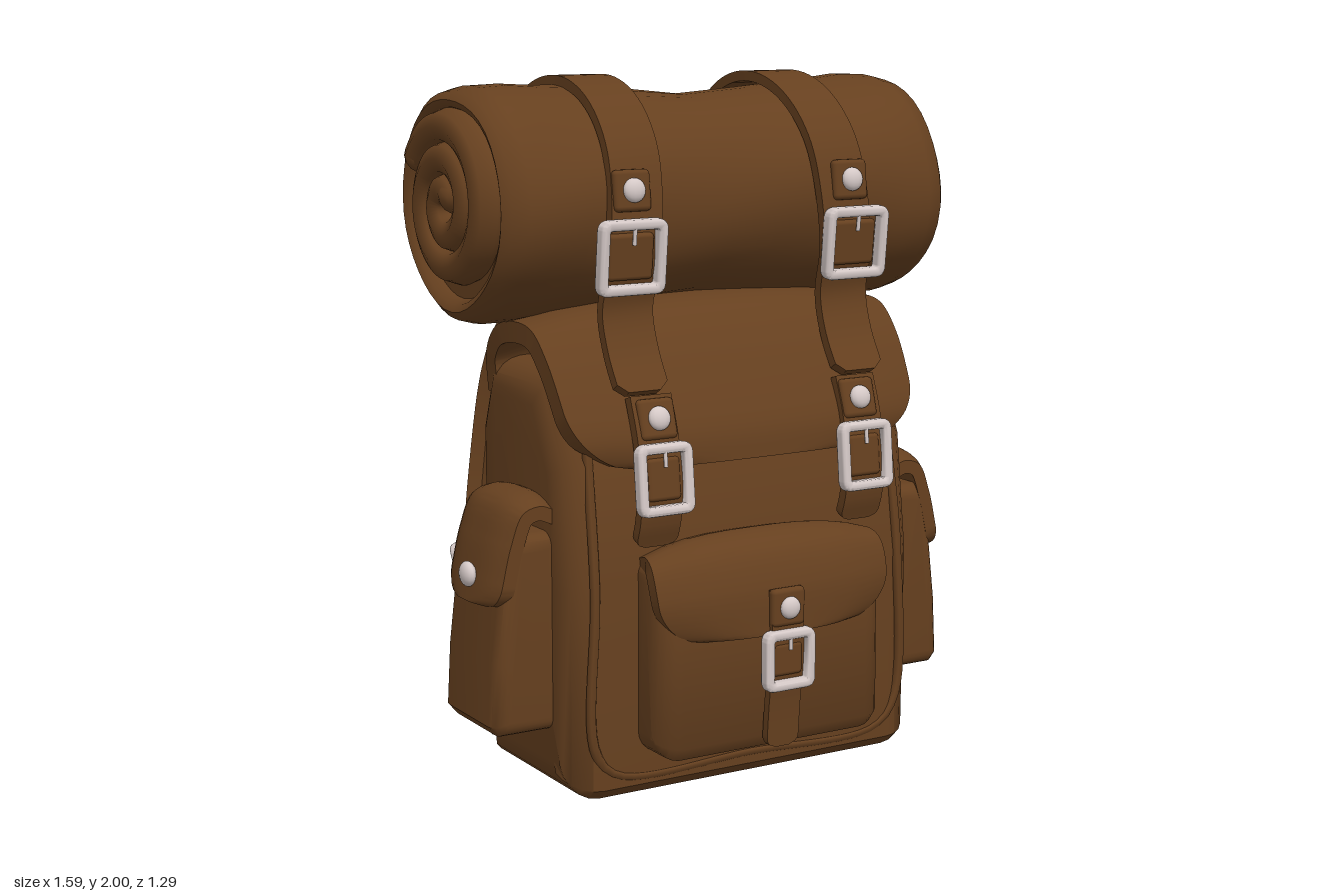
import * as THREE from 'three';
import { toCreasedNormals } from 'three/addons/utils/BufferGeometryUtils.js';
import { RoundedBoxGeometry } from 'three/addons/geometries/RoundedBoxGeometry.js';

const leather = new THREE.MeshStandardMaterial({ color: 0x66401f });
leather.name = 'brown leather';
const metal = new THREE.MeshStandardMaterial({ color: 0xd6cac8 });
metal.name = 'pale metal';

const V = (x, y, z) => new THREE.Vector3(x, y, z);
// path of [z, y] pairs at a fixed x
const zy = (x, pts) => pts.map(([z, y]) => V(x, y, z));

function add(parent, name, geo, mat = leather, pos) {
  const m = new THREE.Mesh(geo, mat);
  m.name = name;
  if (pos) m.position.copy(pos);
  parent.add(m);
  return m;
}

// band swept along a path: dir is its width direction, round its end corner radius,
// bow drops the two long edges, flare widens the middle
function ribbon(pts, width, thick, { dir = () => V(1, 0, 0), round = 0, bow = 0, flare = 0, steps = 56 } = {}) {
  const curve = new THREE.CatmullRomCurve3(pts, false, 'centripetal');
  const len = curve.getLength(), pos = [], idx = [], cols = bow ? 10 : 1, ring = 2 * (cols + 1);
  for (let i = 0; i <= steps; i++) {
    const u = i / steps, p = curve.getPointAt(u), d = dir(u).normalize();
    const n = curve.getTangentAt(u).cross(d).normalize();
    const left = Math.min((1 - u) * len, round);
    const half = width / 2 + flare * Math.sin(Math.PI * u) - round
      + Math.sqrt(Math.max(0, round ** 2 - (round - left) ** 2));
    for (let j = 0; j < ring; j++) {
      const top = j <= cols, k = top ? 1 - 2 * j / cols : 2 * (j - cols - 1) / cols - 1;
      const c = p.clone().addScaledVector(d, k * half)
        .addScaledVector(n, (top ? thick : -thick) / 2 - bow * Math.abs(k) ** 3);
      pos.push(c.x, c.y, c.z);
    }
  }
  for (let i = 0; i < steps; i++) for (let j = 0; j < ring; j++) {
    const a = i * ring + j, b = i * ring + (j + 1) % ring;
    idx.push(a, b, b + ring, a, b + ring, a + ring);
  }
  const e = steps * ring;
  for (let j = 0; j < cols; j++) {
    const a = j, b = j + 1, c = ring - 2 - j, d = ring - 1 - j;
    idx.push(e + a, e + b, e + c, e + a, e + c, e + d, c, b, a, d, c, a);
  }
  const g = new THREE.BufferGeometry();
  g.setAttribute('position', new THREE.Float32BufferAttribute(pos, 3));
  g.setIndex(idx);
  return toCreasedNormals(g, 0.7);
}

// outline extruded by depth, centred, with rounded rims
function slab(pts, depth, bevel) {
  const s = new THREE.Shape(pts.map(([x, y]) => new THREE.Vector2(x, y)));
  const g = new THREE.ExtrudeGeometry(s, { depth: depth - 2 * bevel, bevelSize: bevel,
    bevelThickness: bevel, bevelOffset: -bevel, bevelSegments: 5 });
  g.translate(0, 0, -depth / 2 + bevel);
  return toCreasedNormals(g, 0.7);
}
// same, from a [z, y] side profile extruded across x
const sideSlab = (pts, width, bevel) => slab(pts, width, bevel).rotateY(-Math.PI / 2);

function roundRect(path, w, h, r) {
  const x = w / 2, y = h / 2;
  path.moveTo(-x + r, -y).lineTo(x - r, -y).quadraticCurveTo(x, -y, x, -y + r)
    .lineTo(x, y - r).quadraticCurveTo(x, y, x - r, y).lineTo(-x + r, y)
    .quadraticCurveTo(-x, y, -x, y - r).lineTo(-x, -y + r).quadraticCurveTo(-x, -y, -x + r, -y);
  return path;
}

function fitting(parent, name, pos, normal) {
  const g = new THREE.Group();
  g.name = name;
  g.position.copy(pos);
  g.lookAt(pos.clone().add(normal));
  parent.add(g);
  return g;
}

// slim square frame with a prong
function buckle(parent, pos, normal, w = 0.2, h = 0.2) {
  const g = fitting(parent, 'buckle', pos, normal);
  const s = roundRect(new THREE.Shape(), w - 0.018, h - 0.018, 0.022);
  s.holes.push(roundRect(new THREE.Path(), w - 0.04, h - 0.04, 0.015));
  add(g, 'buckleFrame', toCreasedNormals(new THREE.ExtrudeGeometry(s, { depth: 0.02,
    bevelSize: 0.009, bevelThickness: 0.009, bevelSegments: 2 }).translate(0, 0, -0.01), 0.8), metal);
  add(g, 'bucklePin', new THREE.CylinderGeometry(0.006, 0.006, h * 0.3, 8), metal, V(0, h * 0.32, 0.012));
  add(g, 'strapKeeper', new RoundedBoxGeometry(w - 0.07, h - 0.08, 0.03, 2, 0.012), leather, V(0, 0, -0.012));
}

// domed stud on a small leather tab
function rivet(parent, pos, normal, r = 0.034, tab = 0.115) {
  const g = fitting(parent, 'rivet', pos, normal);
  if (tab) add(g, 'rivetTab', new RoundedBoxGeometry(tab, tab, 0.03, 2, 0.014));
  add(g, 'rivetHead', new THREE.SphereGeometry(r, 14, 10).scale(1, 1, 0.6), metal, V(0, 0, 0.018));
}

export function createModel() {
  const model = new THREE.Group();
  model.name = 'backpack';
  const front = V(0, 0, 1), back = V(0, 0, -1);

  // main bag, tapering to the top
  add(model, 'body', sideSlab([[-0.12, 0], [0.39, 0], [0.42, 0.03], [0.425, 0.6], [0.38, 0.95],
    [0.26, 1.2], [-0.1, 1.2], [-0.17, 1.0], [-0.17, 0.45]], 1.17, 0.1));
  const seam = new THREE.CatmullRomCurve3([V(-0.5, 1.0, 0.36), V(-0.51, 0.6, 0.42), V(-0.51, 0.15, 0.415),
    V(-0.44, 0.07, 0.41), V(0, 0.065, 0.41), V(0.44, 0.07, 0.41), V(0.51, 0.15, 0.415), V(0.51, 0.6, 0.42),
    V(0.5, 1.0, 0.36)], false, 'centripetal');
  add(model, 'frontPiping', new THREE.TubeGeometry(seam, 80, 0.016, 6));

  // padded back, bowed outward
  for (let i = 0; i < 4; i++)
    add(model, 'backPad', sideSlab([[-0.1, 0.17], [-0.17, 0.2], [-0.215, 0.4], [-0.23, 0.65], [-0.225, 0.9],
      [-0.195, 1.13], [-0.1, 1.17]].reverse(), 0.24, 0.025), leather, V((i - 1.5) * 0.235, 0, 0));
  add(model, 'backYoke', new RoundedBoxGeometry(0.96, 0.12, 0.08, 3, 0.03), leather, V(0, 1.16, -0.14));
  add(model, 'backHem', new RoundedBoxGeometry(0.98, 0.12, 0.06, 3, 0.025), leather, V(0, 0.15, -0.13));

  // top lid folding over the front
  add(model, 'lid', ribbon(zy(0, [[-0.13, 1.1], [-0.12, 1.22], [-0.04, 1.31], [0.1, 1.345], [0.22, 1.33],
    [0.31, 1.25], [0.39, 1.12], [0.435, 1.02], [0.445, 0.94]]), 1.13, 0.06,
    { round: 0.19, bow: 0.05, flare: 0.025, steps: 80 }));

  // front pocket
  add(model, 'frontPocket', sideSlab([[0.36, 0.12], [0.53, 0.12], [0.56, 0.16], [0.555, 0.58], [0.51, 0.69],
    [0.36, 0.7]], 0.75, 0.07));
  add(model, 'frontPocketFlap', ribbon(zy(0, [[0.41, 0.71], [0.47, 0.72], [0.53, 0.69], [0.57, 0.6], [0.58, 0.46]]),
    0.73, 0.04, { round: 0.12, bow: 0.045, flare: 0.02 }));
  add(model, 'frontPocketStrap', ribbon(zy(0, [[0.585, 0.59], [0.6, 0.5], [0.6, 0.38], [0.585, 0.25], [0.575, 0.13]]),
    0.105, 0.025, { round: 0.03 }));
  rivet(model, V(0, 0.54, 0.605), front, 0.032, 0.11);
  buckle(model, V(0, 0.39, 0.615), front, 0.165, 0.175);

  for (const s of [-1, 1]) {
    const side = V(s, 0, 0);

    // side pocket with an arched flap
    const box = [[0.55, 0.19], [0.74, 0.19], [0.765, 0.22], [0.755, 0.4], [0.715, 0.74], [0.68, 0.76], [0.55, 0.76]]
      .map(([x, y]) => [x * s, y]);
    add(model, 'sidePocket', slab(s > 0 ? box : box.reverse(), 0.34, 0.045), leather, V(0, 0, 0.14));
    add(model, 'sidePocketFlap', ribbon([[0.56, 0.83], [0.62, 0.85], [0.68, 0.83], [0.72, 0.74], [0.745, 0.64], [0.762, 0.56]]
      .map(([x, y]) => V(x * s, y, 0.15)), 0.32, 0.04, { dir: () => V(0, 0, -s), round: 0.07, bow: 0.03 }));
    rivet(model, V(0.758 * s, 0.64, 0.17), side, 0.036, 0);

    // strap around the bedroll
    const arc = [];
    for (let a = 160; a >= 20; a -= 20) {
      const t = a * Math.PI / 180;
      arc.push([0.352 * Math.cos(t), 1.65 + 0.335 * Math.sin(t)]);
    }
    const loop = [[-0.17, 1.1], [-0.195, 1.22], [-0.27, 1.35], [-0.355, 1.52], ...arc,
      [0.365, 1.52], [0.33, 1.37], [0.36, 1.26], [0.425, 1.15]];
    const path = zy(0, loop).map(p => p.setX(s * (0.36 - 0.04 * Math.max(0, (p.y - 1.4) / 0.6))));
    add(model, 'bedrollStrap', ribbon(path, 0.16, 0.03, { round: 0.03, steps: 90 }));
    rivet(model, V(0.36 * s, 1.7, 0.365), V(0, 0.12, 1));
    buckle(model, V(0.37 * s, 1.52, 0.385), V(0, -0.1, 1), 0.21, 0.21);
    rivet(model, V(0.35 * s, 1.69, -0.36), V(0, 0.12, -1));
    buckle(model, V(0.345 * s, 1.53, -0.38), V(0, -0.15, -1), 0.21, 0.2);
    rivet(model, V(0.36 * s, 1.18, -0.2), back);

    // strap closing the lid
    add(model, 'lidStrap', ribbon(zy(0.34 * s, [[0.42, 1.14], [0.46, 1.03], [0.485, 0.9], [0.475, 0.8], [0.45, 0.73]]),
      0.13, 0.03, { round: 0.03 }));
    rivet(model, V(0.335 * s, 1.08, 0.455), V(0, 0.3, 1));
    buckle(model, V(0.335 * s, 0.92, 0.5), V(0, 0.1, 1), 0.175, 0.2);

    // shoulder strap, twisting outward in the middle
    const strap = [[0.24, 1.07, -0.2], [0.24, 1.2, -0.22], [0.24, 1.28, -0.34], [0.26, 1.25, -0.44], [0.29, 1.1, -0.53],
      [0.335, 0.82, -0.565], [0.38, 0.55, -0.53], [0.41, 0.32, -0.43], [0.42, 0.13, -0.31], [0.42, 0.05, -0.21],
      [0.42, 0.1, -0.13]].map(([x, y, z]) => V(x * s, y, z));
    const twist = u => 0.72 * Math.sin(Math.PI * u ** 1.2);
    add(model, 'shoulderStrap', ribbon(strap, 0.2, 0.048,
      { dir: u => V(Math.cos(twist(u)), 0, s * Math.sin(twist(u))), steps: 70 }));
    rivet(model, V(0.24 * s, 1.1, -0.225), back);
    buckle(model, V(0.415 * s, 0.47, -0.52), V(0.65 * s, -0.25, -0.74), 0.24, 0.19);
  }

  // bedroll, pinched between the straps and slightly uneven
  const profile = [[0, -0.69], [0.26, -0.69], [0.275, -0.72], [0.295, -0.73], [0.318, -0.71], [0.332, -0.66],
    [0.333, -0.58], [0.322, -0.48], [0.315, -0.34], [0.306, -0.2], [0.292, 0]];
  const full = [...profile, ...profile.slice(0, -1).reverse().map(([r, x]) => [r, -x])];
  const roll = new THREE.LatheGeometry(full.map(([r, x]) => new THREE.Vector2(r, x)), 40);
  const p = roll.attributes.position;
  for (let i = 0; i < p.count; i++) {
    const a = Math.atan2(p.getZ(i), p.getX(i)), y = p.getY(i);
    const k = 1 + 0.012 * Math.sin(3 * a + 6 * y) + 0.01 * Math.cos(5 * a - 9 * y);
    p.setXYZ(i, p.getX(i) * k, y, p.getZ(i) * k * 1.06);
  }
  roll.rotateZ(-Math.PI / 2);
  add(model, 'bedroll', toCreasedNormals(roll, 0.7), leather, V(0, 1.65, 0));

  // coiled ends of the bedroll
  for (const s of [-1, 1]) {
    const pts = [];
    for (let i = 0; i <= 48; i++) {
      const t = i / 48, a = t * 2.25 * 2 * Math.PI + 1, r = 0.03 + 0.2 * t;
      pts.push(V(0, r * Math.sin(a), r * Math.cos(a)));
    }
    const coil = new THREE.TubeGeometry(new THREE.CatmullRomCurve3(pts), 130, 0.052, 8);
    add(model, 'bedrollCoil', coil.scale(1.2, 1, 1.04), leather, V(0.71 * s, 1.65, 0));
    for (const end of [pts[0], pts[48]])
      add(model, 'coilTip', new THREE.SphereGeometry(0.052, 10, 8).scale(1.2, 1, 1), leather,
        V(0.71 * s, 1.65 + end.y, end.z * 1.04));
  }
  return model;
}
